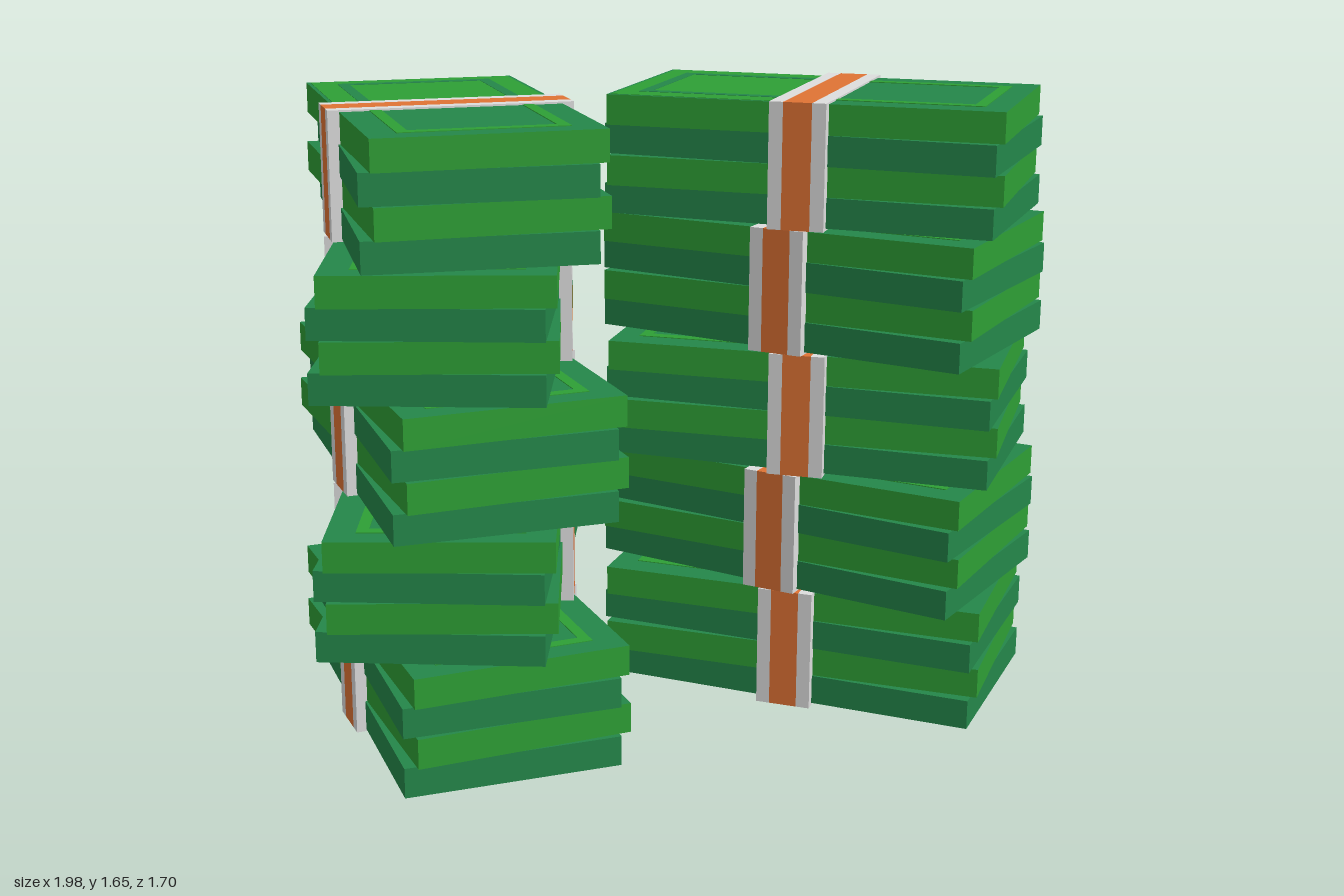
import * as THREE from 'three';

const mat = (name, color) => {
  const m = new THREE.MeshStandardMaterial({ color });
  m.name = name;
  return m;
};

const LENGTH = 1.05, WIDTH = 0.57, LAYER = 0.08, BUNDLE = 0.331, GAP = 0.006;

export function createModel() {
  const light = mat('light green', 0x2e9f35);
  const dark = mat('dark green', 0x24874a);
  const white = mat('band white', 0xdddddd);
  const orange = mat('band orange', 0xe07334);

  const add = (parent, name, geo, material, x, y, z) => {
    const m = new THREE.Mesh(geo, material);
    m.name = name;
    m.position.set(x, y, z);
    parent.add(m);
    return m;
  };

  // U-shaped border on one half of a note; side is +1 front, -1 back
  const addBorder = (parent, side, material, y) => {
    const t = 0.03, halfW = 0.21, halfL = 0.46, thin = 0.002;
    const leg = halfL - 0.07;
    for (const s of [-1, 1]) {
      add(parent, 'borderSide', new THREE.BoxGeometry(t, thin, leg), material,
        s * (halfW - t / 2), y, side * (halfL - leg / 2));
    }
    add(parent, 'borderEnd', new THREE.BoxGeometry(2 * (halfW - t), thin, t), material,
      0, y, side * (halfL - t / 2));
  };

  // Four slightly twisted layers wrapped in a paper band
  const makeBundle = (isTop) => {
    const bundle = new THREE.Group();
    bundle.name = 'bundle';
    const layerGeo = new THREE.BoxGeometry(WIDTH, LAYER, LENGTH);
    [-3, 0.5, -3, 0].forEach((twist, i) => {
      const side = i % 2 ? light : dark;
      const layer = add(bundle, 'noteLayer', layerGeo, [side, side, dark, light, side, side],
        0, GAP + LAYER * (i + 0.5), 0);
      layer.rotation.y = THREE.MathUtils.degToRad(twist);
    });

    // Printed top note
    const y = GAP + LAYER * 4;
    if (isTop) {
      add(bundle, 'lightHalf', new THREE.BoxGeometry(WIDTH - 0.02, 0.002, LENGTH / 2 - 0.01), light,
        0, y, -LENGTH / 4 + 0.005);
    }
    addBorder(bundle, 1, light, y + 0.001);
    addBorder(bundle, -1, isTop ? dark : light, y + 0.001);

    // Paper band: orange centre, white edges
    const bandW = 0.63, orangeW = 0.076, edgeW = 0.037;
    add(bundle, 'bandCentre', new THREE.BoxGeometry(bandW, BUNDLE, orangeW), orange, 0, BUNDLE / 2, 0);
    for (const s of [-1, 1]) {
      add(bundle, 'bandEdge', new THREE.BoxGeometry(bandW, BUNDLE, edgeW), white,
        0, BUNDLE / 2, s * (orangeW + edgeW) / 2);
    }
    return bundle;
  };

  // Stack of bundles, angles listed from bottom to top
  const makeStack = (name, x, z, angles) => {
    const stack = new THREE.Group();
    stack.name = name;
    stack.position.set(x, 0, z);
    angles.forEach((a, i) => {
      const b = makeBundle(i === angles.length - 1);
      b.position.y = i * BUNDLE;
      b.rotation.y = THREE.MathUtils.degToRad(a);
      stack.add(b);
    });
    return stack;
  };

  const model = new THREE.Group();
  model.name = 'bundleStacks';
  model.add(makeStack('leftStack', 0.49, 0.258, [24.3, 15.3, 27.7, 16.3, 25.5]));
  model.add(makeStack('rightStack', -0.41, -0.25, [-23, -45.5, -23.8, -44.5, -29.5]));
  return model;
}
